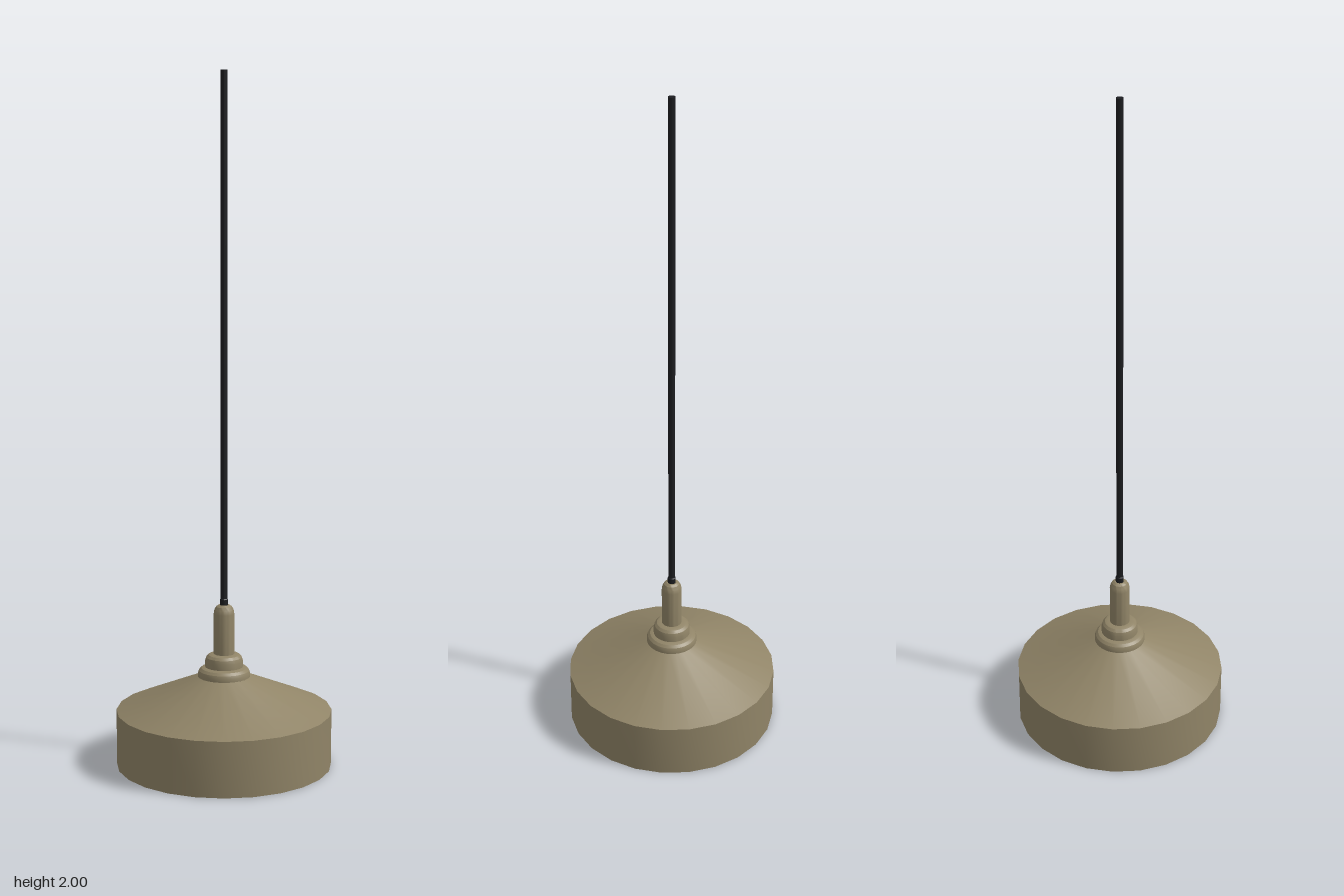
import * as THREE from 'three';
import { toCreasedNormals } from 'three/addons/utils/BufferGeometryUtils.js';

const outer = new THREE.MeshStandardMaterial({ color: 0x908467 });
outer.name = 'olive enamel';
const inner = new THREE.MeshStandardMaterial({ color: 0x9a7350 });
inner.name = 'copper lining';
const black = new THREE.MeshStandardMaterial({ color: 0x1c1d20 });
black.name = 'black cable';

export function createModel() {
  const lamp = new THREE.Group();
  lamp.name = 'pendantLamp';

  // Turned part from [radius, height] points; listed bottom to top it faces outward
  const turn = (name, points, sides, material) => {
    const profile = points.map(([r, y]) => new THREE.Vector2(r, y));
    const geometry = toCreasedNormals(new THREE.LatheGeometry(profile, sides), 0.4);
    const mesh = new THREE.Mesh(geometry, material);
    mesh.name = name;
    lamp.add(mesh);
  };

  // Shade: bottom rim, straight wall and sloping roof
  turn('shade', [[0.29, 0], [0.314, 0], [0.314, 0.162], [0.076, 0.262], [0.06, 0.272]], 24, outer);

  // Lining, listed top to bottom so that it faces inward
  turn('shadeLining', [[0, 0.245], [0.06, 0.245], [0.29, 0.15], [0.29, 0]], 24, inner);

  // Two rounded collars stepping up to the stem
  turn('lowerCollar', [[0.07, 0.25], [0.076, 0.262], [0.076, 0.272], [0.073, 0.28],
    [0.066, 0.287], [0.055, 0.291], [0.03, 0.291]], 40, outer);
  turn('upperCollar', [[0.055, 0.285], [0.055, 0.309], [0.052, 0.319], [0.045, 0.326],
    [0.036, 0.329], [0.02, 0.329]], 40, outer);

  // Stem with a rounded shoulder
  turn('stem', [[0.03, 0.32], [0.03, 0.448], [0.028, 0.46], [0.023, 0.469],
    [0.016, 0.474], [0, 0.474]], 32, outer);

  // Cable grip and cable
  turn('cableGrip', [[0.012, 0.465], [0.012, 0.49], [0.009, 0.494], [0, 0.494]], 16, black);
  turn('cable', [[0.01, 0.47], [0.01, 2], [0, 2]], 16, black);

  return lamp;
}
